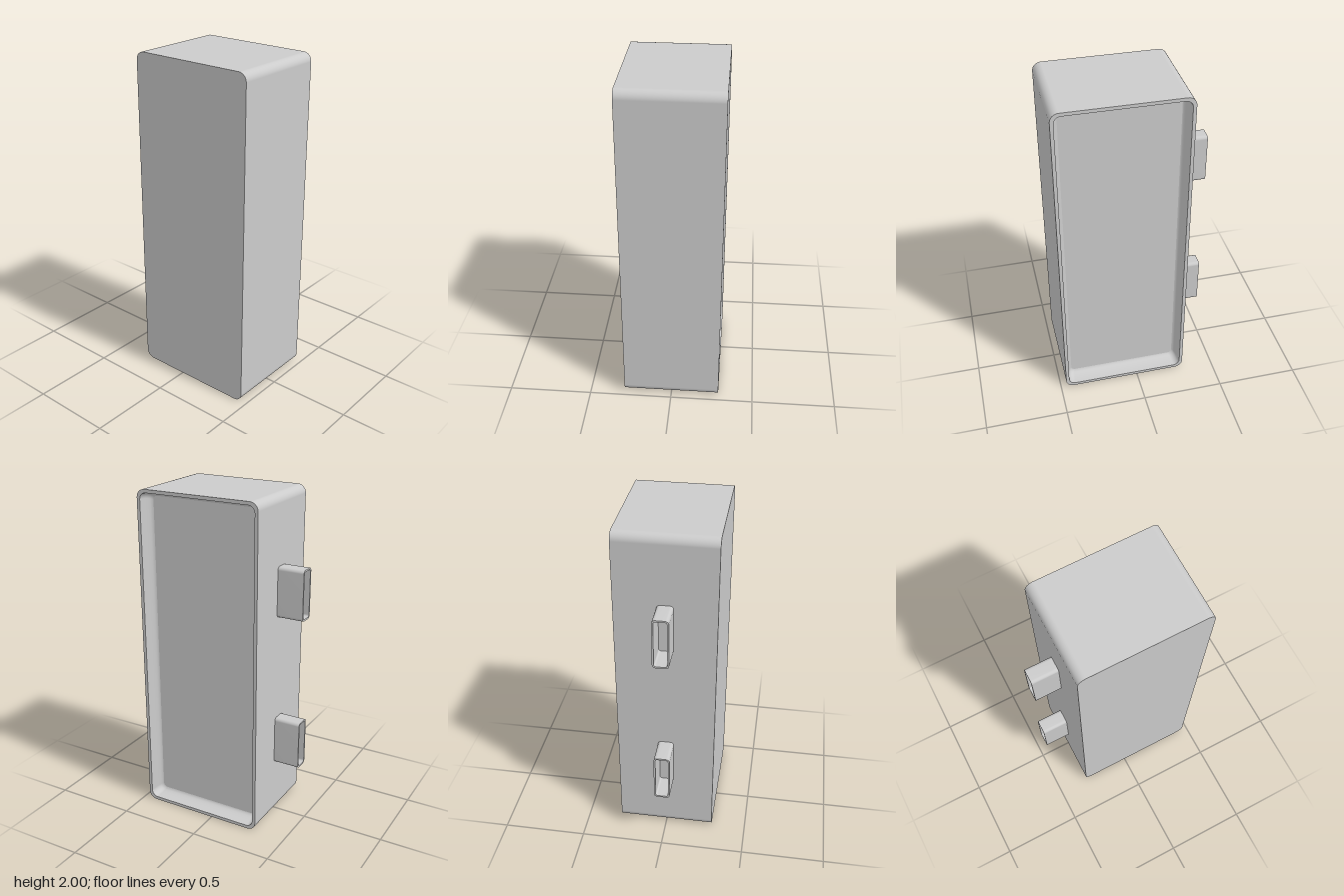
import * as THREE from 'three';

const material = new THREE.MeshStandardMaterial({ color: 0xcccccc });

// Rounded rectangle, counter-clockwise seen from +z; w = h = 0 gives a point
function roundedLoop([w, h, r, z], steps) {
  const points = [];
  for (let corner = 0; corner < 4; corner++) {
    const sx = corner === 0 || corner === 3 ? 1 : -1;
    const sy = corner < 2 ? 1 : -1;
    for (let i = 0; i <= steps; i++) {
      const a = (corner + i / steps) * Math.PI / 2;
      points.push([sx * (w / 2 - r) + r * Math.cos(a), sy * (h / 2 - r) + r * Math.sin(a), z]);
    }
  }
  return points;
}

// Smooth surface through a series of rounded loops [width, height, radius, z]
function loft(name, sections, steps = 8) {
  const loops = sections.map((s) => roundedLoop(s, steps));
  const n = loops[0].length;
  const index = [];
  for (let k = 0; k < loops.length - 1; k++) {
    for (let j = 0; j < n; j++) {
      const a = k * n + j, b = k * n + (j + 1) % n;
      index.push(a, a + n, b, b, a + n, b + n);
    }
  }
  const geometry = new THREE.BufferGeometry();
  geometry.setAttribute('position', new THREE.Float32BufferAttribute(loops.flat(2), 3));
  geometry.setIndex(index);
  geometry.computeVertexNormals();
  const mesh = new THREE.Mesh(geometry, material);
  mesh.name = name;
  return mesh;
}

function createCase() {
  const W = 0.77, H = 2, R = 0.05, Z = 0.29;
  const inset = (d, z) => [W - 2 * d, H - 2 * d, Math.max(R - d * 0.5, 0.02), z];
  // Hollow cove leading from the thin back rim to the recessed panel
  const cove = [];
  for (let i = 0; i <= 6; i++) {
    const a = (i / 6) * Math.PI / 2;
    cove.push(inset(0.02 + 0.03 * (1 - Math.cos(a)), -Z + 0.09 * Math.sin(a)));
  }
  const group = new THREE.Group();
  group.name = 'case';
  group.add(
    loft('frontPanel', [[0, 0, 0, Z], inset(0, Z)]),
    loft('sideWalls', [inset(0, Z), inset(0, -Z)]),
    loft('backRim', [inset(0, -Z), inset(0.02, -Z)]),
    loft('recessWall', cove),
    loft('recessPanel', [cove[6], [0, 0, 0, cove[6][3]]]),
  );
  group.position.set(0.08, 1, 0);
  return group;
}

// Open-ended flat sleeve sticking out of the side wall
function createSleeve(name, y) {
  const outer = (z) => [0.095, 0.3, 0.02, z];
  const inner = (z) => [0.075, 0.28, 0.012, z];
  const base = -0.3, tip = -0.465;
  const group = new THREE.Group();
  group.name = name;
  group.add(
    loft('sleeveOutside', [outer(base), outer(tip)], 4),
    loft('sleeveRim', [outer(tip), inner(tip)], 4),
    loft('sleeveInside', [inner(tip), inner(base)], 4),
  );
  group.rotation.y = Math.PI / 2;
  group.position.y = y;
  return group;
}

export function createModel() {
  const model = new THREE.Group();
  model.name = 'hollowBackCase';
  model.add(createCase(), createSleeve('lowerSleeve', 0.505), createSleeve('upperSleeve', 1.445));
  return model;
}
